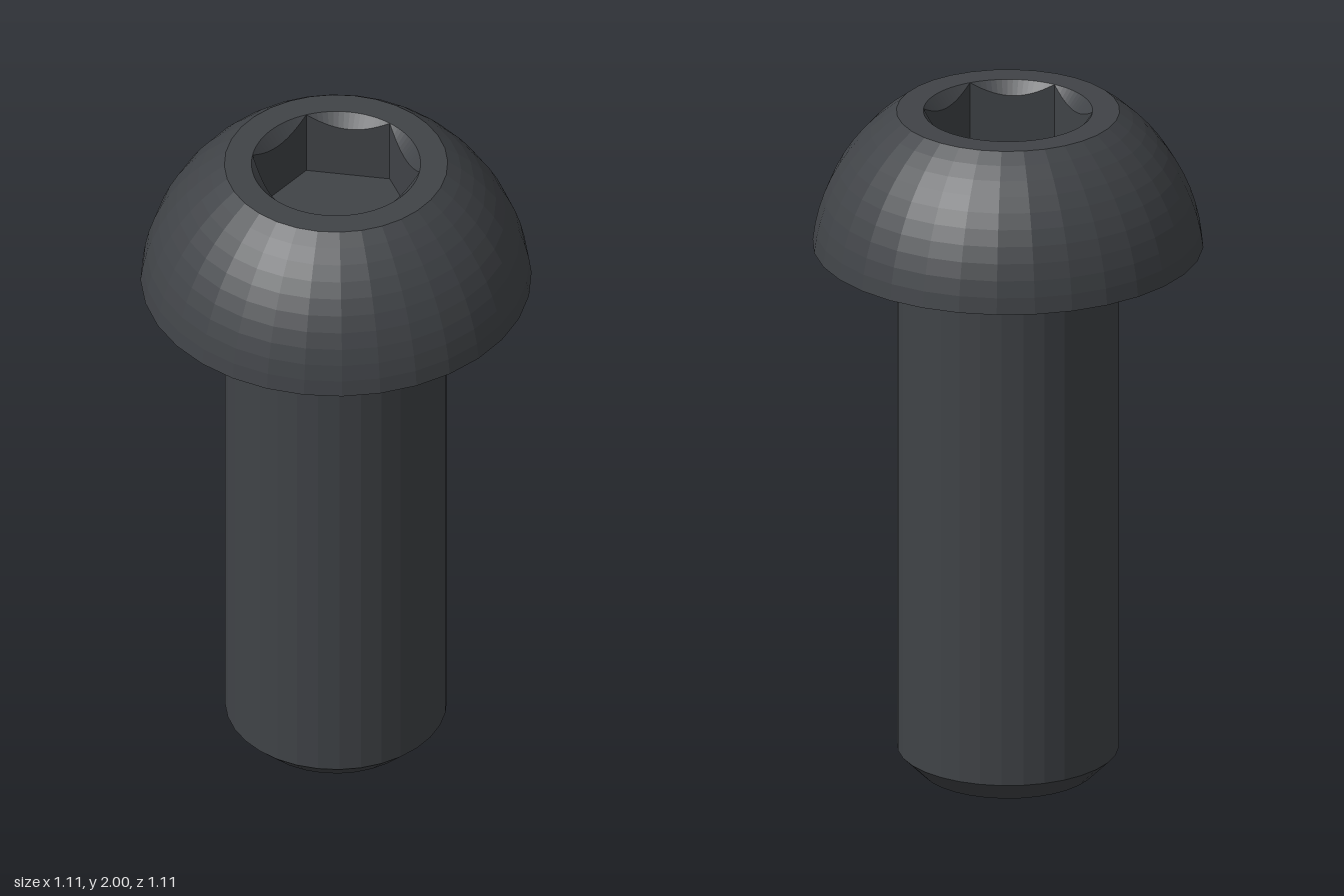
import * as THREE from 'three';

const SIDES = 32;
const HEAD_R = 0.555, HEAD_Y = 1.595, SHAFT_R = 0.315, TOP_R = 0.317, TOP_Y = 2;
const SOCKET_R = 0.24, SOCKET_FLOOR = 1.8;

// Distance from the centre to the edge of a regular polygon at angle a
function polygonRadius(a, sides, r) {
  const step = (2 * Math.PI) / sides;
  const local = a - Math.floor(a / step + 1e-9) * step - step / 2;
  return (r * Math.cos(step / 2)) / Math.cos(local);
}

// Skin between successive loops, from the outside in; each loop maps angle to [radius, y]
function skinLoops(loops, count) {
  const positions = [], index = [];
  for (const loop of loops) {
    for (let i = 0; i < count; i++) {
      const a = (i / count) * 2 * Math.PI;
      const [r, y] = loop(a);
      positions.push(r * Math.cos(a), y, r * Math.sin(a));
    }
  }
  for (let l = 0; l < loops.length - 1; l++) {
    for (let i = 0; i < count; i++) {
      const j = (i + 1) % count;
      const a = l * count + i, b = l * count + j;
      const c = a + count, d = b + count;
      index.push(a, c, b, b, c, d);
    }
  }
  const geometry = new THREE.BufferGeometry();
  geometry.setAttribute('position', new THREE.Float32BufferAttribute(positions, 3));
  geometry.setIndex(index);
  geometry.computeVertexNormals();
  return geometry;
}

export function createModel() {
  const model = new THREE.Group();
  model.name = 'buttonHeadBolt';
  const material = new THREE.MeshStandardMaterial({ color: 0x404347, flatShading: true });

  const add = (name, geometry) => {
    const mesh = new THREE.Mesh(geometry, material);
    mesh.name = name;
    model.add(mesh);
  };
  const lathe = (profile) =>
    new THREE.LatheGeometry(profile.map(([r, y]) => new THREE.Vector2(r, y)), SIDES);

  // Shaft with chamfered tip and a small fillet under the head
  const shaft = [[0, 0], [0.25, 0], [SHAFT_R, 0.065]];
  const fillet = 0.033;
  for (let i = 0; i <= 4; i++) {
    const a = (i / 4) * (Math.PI / 2);
    shaft.push([SHAFT_R + fillet * (1 - Math.cos(a)), HEAD_Y - fillet + fillet * Math.sin(a)]);
  }
  add('shaft', lathe(shaft));

  // Domed head: flat underside, then an arc centred on the axis
  const centreY = (TOP_Y ** 2 + TOP_R ** 2 - HEAD_Y ** 2 - HEAD_R ** 2) / (2 * (TOP_Y - HEAD_Y));
  const domeR = Math.hypot(HEAD_R, HEAD_Y - centreY);
  const start = Math.atan2(HEAD_Y - centreY, HEAD_R);
  const end = Math.atan2(TOP_Y - centreY, TOP_R);
  const head = [[SHAFT_R + fillet, HEAD_Y]];
  for (let i = 0; i <= 10; i++) {
    const a = start + ((end - start) * i) / 10;
    head.push([domeR * Math.cos(a), centreY + domeR * Math.sin(a)]);
  }
  add('head', lathe(head));

  // Flat top ring, conical lead-in that scallops the hexagon, socket walls and floor
  const hex = (a) => polygonRadius(a, 6, SOCKET_R);
  add('hexSocket', skinLoops([
    (a) => [polygonRadius(a, SIDES, TOP_R), TOP_Y],
    () => [SOCKET_R, TOP_Y],
    (a) => [hex(a), TOP_Y - 1.15 * (SOCKET_R - hex(a))],
    (a) => [hex(a), SOCKET_FLOOR],
    () => [0, SOCKET_FLOOR],
  ], 96));

  return model;
}
